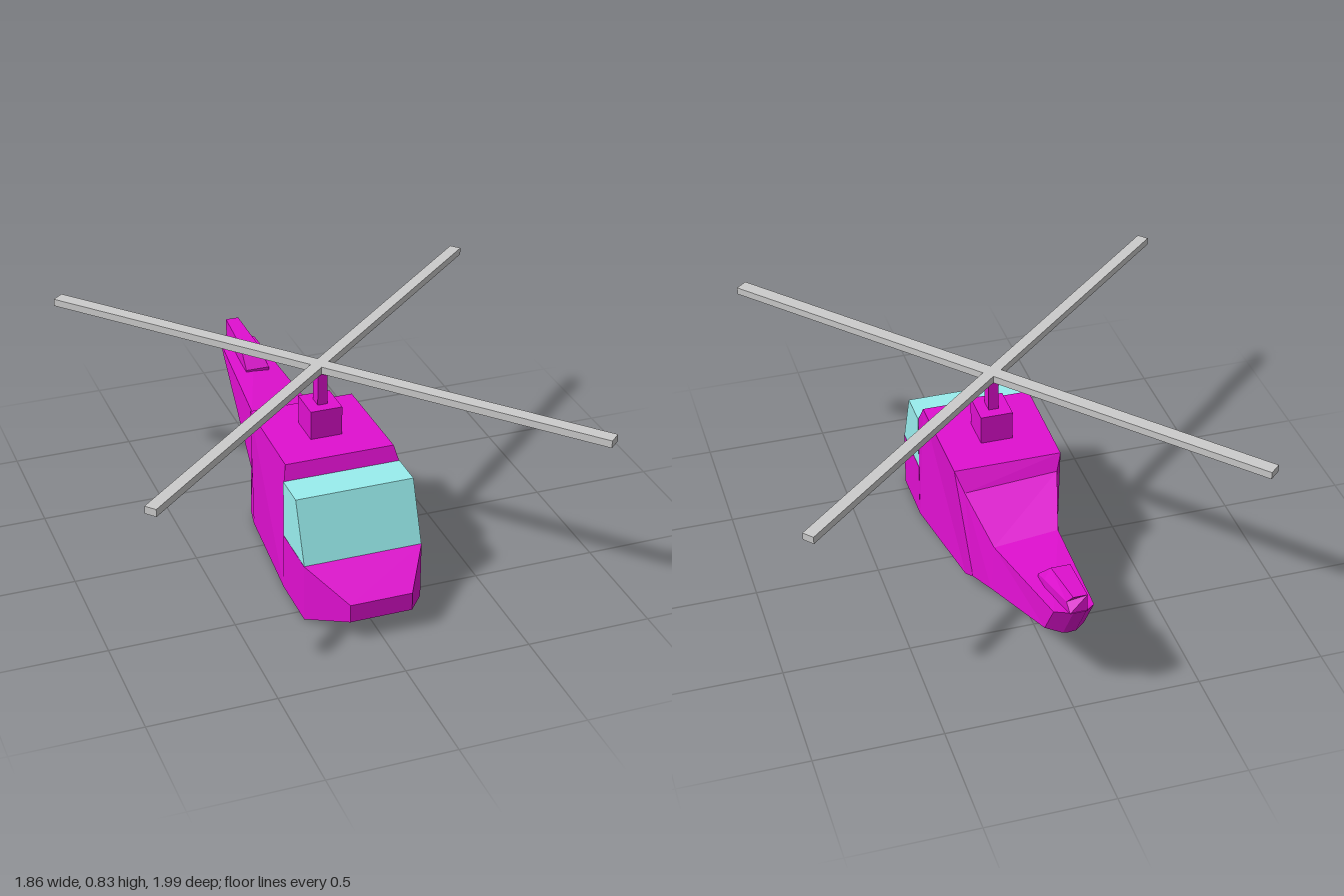
import * as THREE from 'three';

const paint = (color) => new THREE.MeshStandardMaterial({ color, flatShading: true, side: THREE.DoubleSide });

// Skins a list of rings (front to back, each clockwise seen from the front) and caps both ends
function loft(rings) {
  const pos = [];
  const tri = (...pts) => pts.forEach((p) => pos.push(...p));
  const n = rings[0].length;
  for (let i = 0; i < rings.length - 1; i++) {
    for (let j = 0; j < n; j++) {
      const k = (j + 1) % n;
      const [a, b, c, d] = [rings[i][j], rings[i][k], rings[i + 1][j], rings[i + 1][k]];
      tri(a, b, d);
      tri(a, d, c);
    }
  }
  const first = rings[0], last = rings[rings.length - 1];
  for (let j = 1; j < n - 1; j++) {
    tri(first[0], first[j + 1], first[j]);
    tri(last[0], last[j], last[j + 1]);
  }
  const geo = new THREE.BufferGeometry();
  geo.setAttribute('position', new THREE.Float32BufferAttribute(pos, 3));
  geo.computeVertexNormals();
  return geo;
}

export function createModel() {
  const model = new THREE.Group();
  const magenta = paint(0xe010d0), glass = paint(0x99eeee), grey = paint(0xcccccc);

  const add = (name, geo, mat, x = 0, y = 0, z = 0) => {
    const mesh = new THREE.Mesh(geo, mat);
    mesh.name = name;
    mesh.position.set(x, y, z);
    model.add(mesh);
    return mesh;
  };

  // Symmetric hull ring: top corners, then the lower corners (right one doubled for the chamfer)
  const ring = (wTop, yTop, zTop, wLow, yLow, zLow) => [
    [-wTop, yTop, zTop], [wTop, yTop, zTop],
    [wLow, yLow, zLow], [wLow, yLow, zLow], [-wLow, yLow, zLow],
  ];

  // Hull: nose, cabin and tapering tail
  add('fuselage', loft([
    ring(0.125, 0.16, 0.75, 0.125, 0.085, 0.75),
    ring(0.24, 0.24, 0.555, 0.24, 0, 0.555),
    ring(0.24, 0.24, 0.317, 0.24, 0, 0.317),
    ring(0.237, 0.48, 0.317, 0.24, 0, 0.317),
    ring(0.222, 0.54, 0.295, 0.24, 0, 0.317),
    [[-0.215, 0.54, -0.15], [0.217, 0.54, -0.15], [0.19, 0.065, -0.2], [0, 0, -0.17], [-0.2, 0, -0.17]],
    [[-0.19, 0.48, -0.185], [0.19, 0.465, -0.2], [0.185, 0.12, -0.29], [0, 0.015, -0.23], [-0.19, 0.02, -0.24]],
    [[-0.12, 0.38, -0.42], [0.14, 0.36, -0.43], [0.155, 0.168, -0.44], [0, 0.1, -0.44], [-0.12, 0.1, -0.44]],
    [[-0.085, 0.44, -0.95], [0.07, 0.44, -0.95], [0.08, 0.31, -0.88], [0, 0.3, -0.915], [-0.07, 0.31, -0.89]],
    [[-0.04, 0.455, -0.995], [0.01, 0.455, -0.995], [0.02, 0.3, -0.915], [0, 0.3, -0.918], [-0.03, 0.3, -0.915]],
  ]), magenta);

  // Windscreen and side windows in one wedge
  const w = 0.239;
  const pane = (yFront, zFront) => [[-w, yFront, zFront], [w, yFront, zFront]];
  add('canopy', loft([
    [...pane(0.24, 0.555), ...pane(0.24, 0.555).reverse()],
    [...pane(0.48, 0.46), ...pane(0.24, 0.46).reverse()],
    [...pane(0.48, 0.317), ...pane(0.24, 0.317).reverse()],
  ]), glass);

  // Notched tail fin, sloping on its right flank
  add('tailFin', loft([
    [[-0.05, 0.42, -0.7], [0.05, 0.42, -0.7], [0.05, 0.41, -0.7], [0.05, 0.4, -0.7], [-0.05, 0.4, -0.7], [-0.05, 0.41, -0.7]],
    [[-0.05, 0.5, -0.775], [0.025, 0.5, -0.775], [0.05, 0.45, -0.775], [0.05, 0.41, -0.775], [-0.05, 0.41, -0.775], [-0.05, 0.45, -0.775]],
    [[-0.045, 0.525, -0.99], [0.01, 0.525, -0.99], [0.025, 0.485, -0.96], [0.02, 0.45, -0.99], [-0.045, 0.45, -0.99], [-0.045, 0.485, -0.96]],
  ]), magenta);

  // Rotor mast
  add('mastBase', new THREE.BoxGeometry(0.13, 0.125, 0.145), magenta, 0, 0.598, 0.073);
  add('mast', new THREE.BoxGeometry(0.04, 0.15, 0.055), magenta, 0, 0.725, 0.073);

  // Two long crossed blades
  [[0.81, 0.915, 0.056], [0.91, -0.805, 0.048]].forEach(([dx, dz, width], i) => {
    const blade = add(`rotorBlade${i + 1}`, new THREE.BoxGeometry(2.44, 0.03, width), grey, 0, 0.811, 0.067);
    blade.rotation.y = -Math.atan2(dz, dx);
  });

  return model;
}
